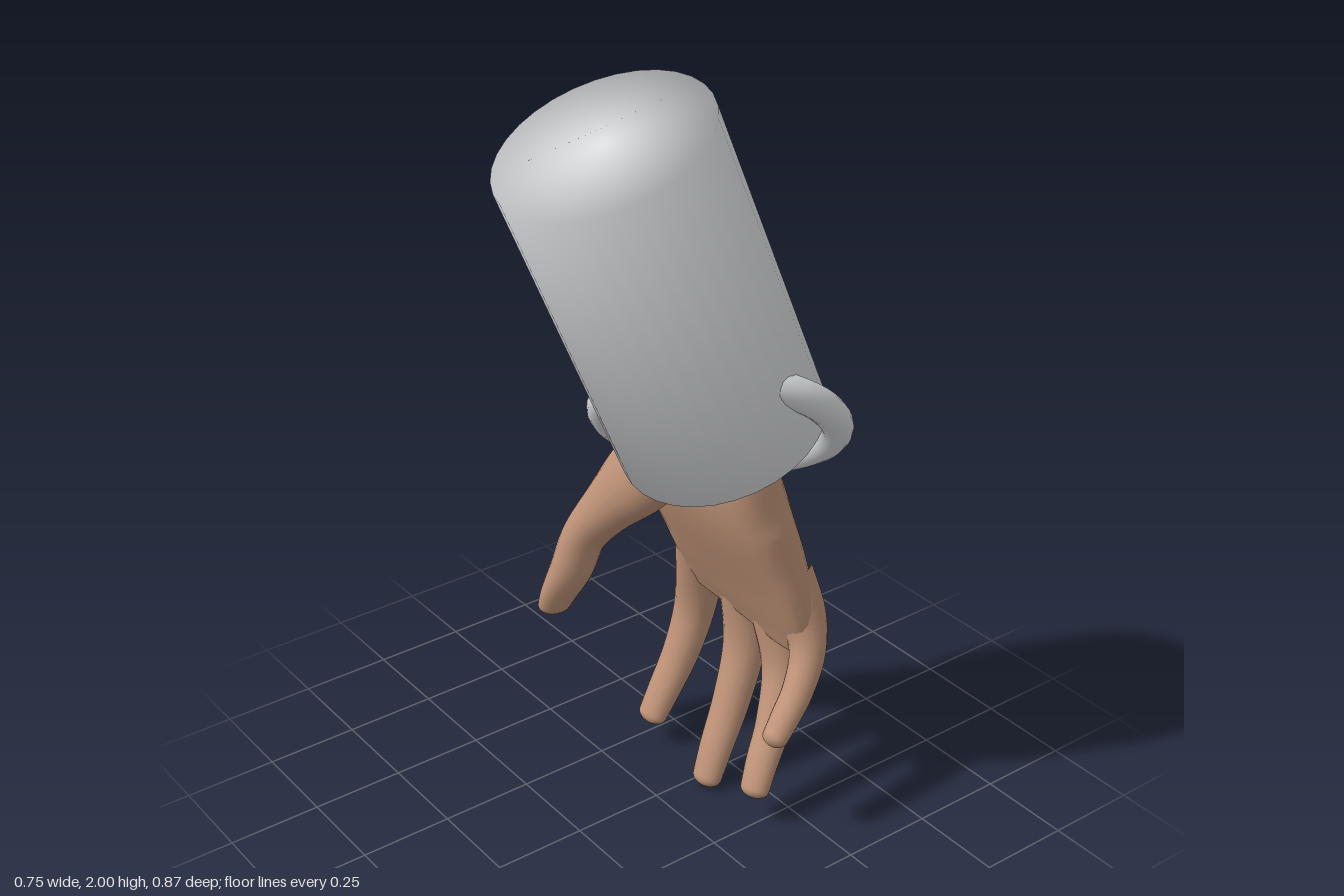
import * as THREE from 'three';

const skin = new THREE.MeshStandardMaterial({ color: 0xbf9378 });
skin.name = 'skin';
const white = new THREE.MeshStandardMaterial({ color: 0xdcdddf });
white.name = 'soft white';

// Rounded limb swept through rows of [x, y, z, half width, half depth].
// arch pushes the side edges forward; square > 0 makes the section boxier.
function limb(name, rows, { arch = 0, square = 0, sides = 20, steps = 36 } = {}) {
  const spline = pts => new THREE.CatmullRomCurve3(pts, false, 'catmullrom', 0.5);
  const path = spline(rows.map(r => new THREE.Vector3(r[0], r[1], r[2])));
  const size = spline(rows.map(r => new THREE.Vector3(r[3], r[4], 0)));
  const last = rows[rows.length - 1];
  const cap = last[4] / path.getLength();
  const pos = [], index = [];
  const bulge = v => Math.sign(v) * Math.pow(Math.abs(v), 1 - square);
  for (let i = 0; i <= steps; i++) {
    const t = 1 - Math.pow(1 - i / steps, 1.6);
    const c = path.getPoint(t), s = size.getPoint(t), T = path.getTangent(t);
    const X = new THREE.Vector3(1, 0, 0).addScaledVector(T, -T.x).normalize();
    const Z = new THREE.Vector3().crossVectors(T, X);
    // hemispherical tip
    const k = Math.max(0, (t - 1 + cap) / cap);
    const f = Math.max(0.002, Math.sqrt(Math.max(0, 1 - k * k)));
    for (let j = 0; j < sides; j++) {
      const a = j / sides * Math.PI * 2;
      const u = bulge(Math.cos(a)), v = bulge(Math.sin(a));
      const p = c.clone().addScaledVector(X, u * s.x * f)
        .addScaledVector(Z, v * s.y * f + arch * (u * u - 0.4) * f);
      pos.push(p.x, p.y, p.z);
      if (i < steps) {
        const p0 = i * sides + j, p1 = i * sides + (j + 1) % sides;
        index.push(p0, p1, p0 + sides, p1, p1 + sides, p0 + sides);
      }
    }
  }
  const g = new THREE.BufferGeometry();
  g.setAttribute('position', new THREE.Float32BufferAttribute(pos, 3));
  g.setIndex(index);
  g.computeVertexNormals();
  const m = new THREE.Mesh(g, skin);
  m.name = name;
  return m;
}

export function createModel() {
  const model = new THREE.Group();
  model.name = 'handWithSleeve';

  // Sleeve: closed cylinder with soft rim normals, leaning forward at the top
  const r = 0.265, h = 0.441;
  const profile = [[0, -h], [r, -h], [r, h], [0, h]].map(p => new THREE.Vector2(...p));
  const sleeve = new THREE.Mesh(new THREE.LatheGeometry(profile, 32), white);
  sleeve.name = 'sleeve';
  sleeve.position.set(0.065, 1.495, 0.02);
  sleeve.rotation.x = Math.atan2(0.35, 0.81);
  model.add(sleeve);

  // Bracelet: slanted ring passing through the cuff and the wrist
  const bracelet = new THREE.Mesh(new THREE.TorusGeometry(0.285, 0.042, 14, 56), white);
  bracelet.name = 'bracelet';
  bracelet.position.set(0.068, 1.12, -0.142);
  bracelet.quaternion.setFromUnitVectors(new THREE.Vector3(0, 0, 1),
    new THREE.Vector3(0.524, -0.68, 0.514).normalize());
  model.add(bracelet);

  // Hand
  const hand = new THREE.Group();
  hand.name = 'hand';
  model.add(hand);

  hand.add(limb('palm', [
    [0.05, 1.18, -0.13, 0.16, 0.10],
    [0.035, 1.0, -0.15, 0.215, 0.115],
    [0.025, 0.88, -0.18, 0.245, 0.115],
    [0.035, 0.75, -0.225, 0.25, 0.105],
    [0.045, 0.65, -0.255, 0.253, 0.09],
    [0.045, 0.57, -0.275, 0.25, 0.075],
    [0.04, 0.49, -0.285, 0.22, 0.05],
  ], { arch: 0.03, square: 0.15, sides: 36 }));

  hand.add(limb('thumb', [
    [-0.07, 1.02, -0.11, 0.09, 0.08],
    [-0.15, 0.90, -0.075, 0.105, 0.085],
    [-0.235, 0.78, -0.03, 0.075, 0.075],
    [-0.29, 0.68, 0.015, 0.053, 0.066],
    [-0.31, 0.58, 0.045, 0.048, 0.064],
    [-0.335, 0.50, 0.07, 0.036, 0.058],
    [-0.352, 0.435, 0.085, 0.024, 0.045],
  ]));

  const fingers = {
    indexFinger: [
      [-0.135, 0.68, -0.25, 0.07, 0.07],
      [-0.168, 0.55, -0.275, 0.064, 0.07],
      [-0.192, 0.40, -0.275, 0.059, 0.056],
      [-0.198, 0.27, -0.235, 0.052, 0.05],
      [-0.2, 0.16, -0.175, 0.047, 0.042],
      [-0.2, 0.075, -0.125, 0.042, 0.034],
    ],
    middleFinger: [
      [0, 0.68, -0.265, 0.07, 0.07],
      [0, 0.54, -0.292, 0.064, 0.07],
      [0.01, 0.38, -0.285, 0.06, 0.056],
      [0.022, 0.23, -0.235, 0.052, 0.05],
      [0.035, 0.11, -0.175, 0.048, 0.042],
      [0.045, 0.005, -0.128, 0.042, 0.034],
    ],
    ringFinger: [
      [0.11, 0.68, -0.265, 0.065, 0.068],
      [0.128, 0.54, -0.29, 0.06, 0.068],
      [0.165, 0.39, -0.285, 0.054, 0.053],
      [0.203, 0.26, -0.23, 0.048, 0.047],
      [0.23, 0.17, -0.17, 0.045, 0.04],
      [0.25, 0.09, -0.125, 0.04, 0.033],
    ],
    littleFinger: [
      [0.215, 0.72, -0.25, 0.06, 0.065],
      [0.25, 0.60, -0.275, 0.053, 0.062],
      [0.285, 0.51, -0.265, 0.045, 0.05],
      [0.312, 0.43, -0.215, 0.04, 0.042],
      [0.33, 0.37, -0.155, 0.037, 0.037],
      [0.345, 0.32, -0.1, 0.032, 0.03],
    ],
  };
  for (const [name, rows] of Object.entries(fingers)) hand.add(limb(name, rows));

  return model;
}
